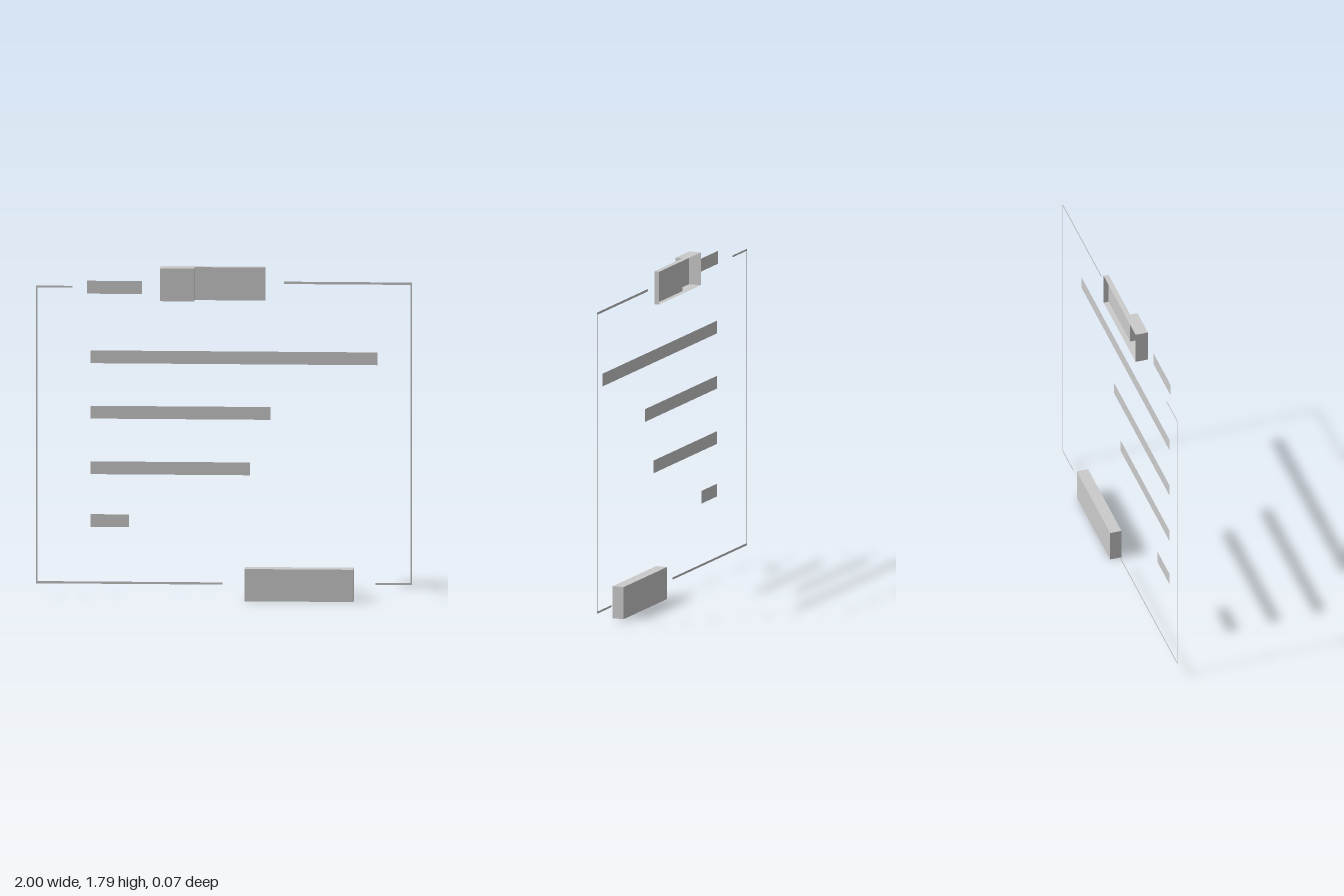
import * as THREE from 'three';

const material = new THREE.MeshStandardMaterial({ color: 0xcccccc, side: THREE.DoubleSide, flatShading: true });
const BAR_Z = 0.034;
const FRAME_Z = -0.014;

function shapeOf(points) {
  return new THREE.Shape(points.map(([x, y]) => new THREE.Vector2(x, y)));
}

// Flat panel given by its outline, facing +z
function flatPart(name, points, z) {
  const mesh = new THREE.Mesh(new THREE.ShapeGeometry(shapeOf(points)), material);
  mesh.name = name;
  mesh.position.z = z;
  return mesh;
}

function bar(name, x0, x1, y0, y1) {
  return flatPart(name, [[x0, y0], [x1, y0], [x1, y1], [x0, y1]], BAR_Z);
}

// Shell with walls along an open (x, z) path, closed above and below, open at the back
function openShell(name, path, y0, y1) {
  const group = new THREE.Group();
  group.name = name;
  const positions = [];
  for (let i = 0; i < path.length - 1; i++) {
    const [ax, az] = path[i];
    const [bx, bz] = path[i + 1];
    positions.push(ax, y0, az, bx, y0, bz, bx, y1, bz, ax, y0, az, bx, y1, bz, ax, y1, az);
  }
  const walls = new THREE.BufferGeometry();
  walls.setAttribute('position', new THREE.Float32BufferAttribute(positions, 3));
  walls.computeVertexNormals();
  const wallMesh = new THREE.Mesh(walls, material);
  wallMesh.name = name + 'Walls';
  group.add(wallMesh);
  for (const [label, y] of [['Floor', y0], ['Roof', y1]]) {
    const cap = new THREE.ShapeGeometry(shapeOf(path)).rotateX(Math.PI / 2);
    const mesh = new THREE.Mesh(cap, material);
    mesh.name = name + label;
    mesh.position.y = y;
    group.add(mesh);
  }
  return group;
}

export function createModel() {
  const model = new THREE.Group();
  model.name = 'framedPanel';

  // Thin border, in two bracket-shaped halves
  model.add(flatPart('frameRight', [
    [-1, 0.081], [-0.008, 0.081], [-0.008, 0.093], [-0.992, 0.093],
    [-0.992, 1.678], [-0.805, 1.678], [-0.805, 1.688], [-1, 1.688],
  ], FRAME_Z));
  model.add(flatPart('frameLeft', [
    [1, 0.086], [1, 1.719], [0.318, 1.719], [0.318, 1.706],
    [0.991, 1.706], [0.991, 0.097], [0.805, 0.097], [0.805, 0.086],
  ], FRAME_Z));

  // Flat horizontal bars
  model.add(bar('headerBar', -0.727, -0.433, 1.655, 1.725));
  const rows = [[0.818, 1.28], [0.25, 0.981], [0.139, 0.681], [-0.503, 0.396]];
  rows.forEach(([end, y], i) => model.add(bar('rowBar' + (i + 1), -0.708, end, y, y + 0.069)));

  // Stepped title block, hollow from behind
  model.add(openShell('titleBlock', [
    [-0.337, -0.035], [-0.337, 0.034], [-0.155, 0.034],
    [-0.155, -0.007], [0.22, -0.007], [0.22, -0.035],
  ], 1.617, 1.795));

  // Solid button at the bottom
  const button = new THREE.Mesh(new THREE.BoxGeometry(0.58, 0.174, 0.063), material);
  button.name = 'button';
  button.position.set(0.4, 0.087, -0.002);
  model.add(button);

  return model;
}
